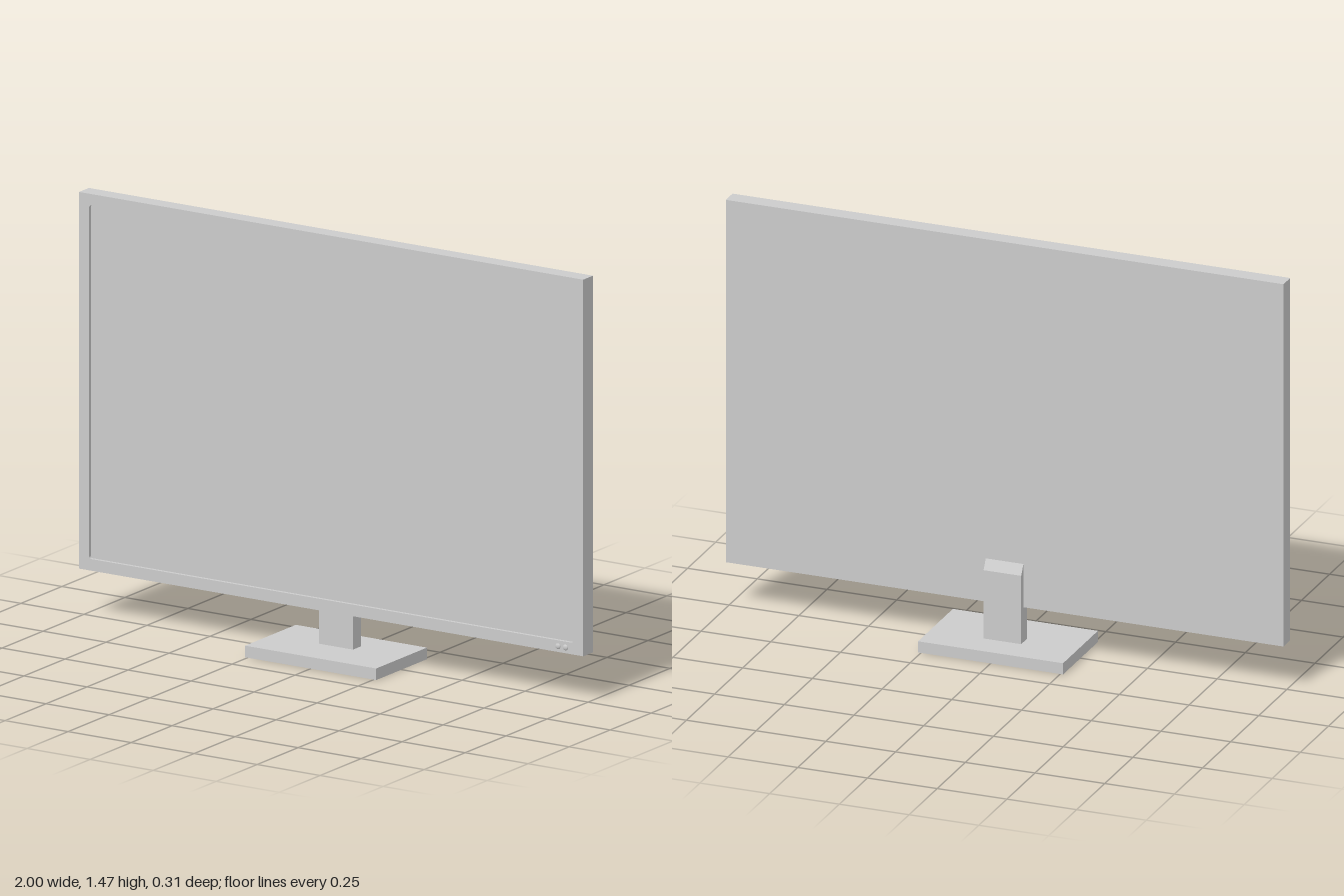
import * as THREE from 'three';

const material = new THREE.MeshStandardMaterial({ color: 0xcccccc });

function addMesh(group, name, geometry, x = 0, y = 0, z = 0) {
  const mesh = new THREE.Mesh(geometry, material);
  mesh.name = name;
  mesh.position.set(x, y, z);
  group.add(mesh);
  return mesh;
}

// Rectangle centred on the origin with slightly rounded corners
function roundedRect(path, w, h, r) {
  const x = w / 2 - r, y = h / 2 - r;
  path.absarc(x, y, r, 0, Math.PI / 2);
  path.absarc(-x, y, r, Math.PI / 2, Math.PI);
  path.absarc(-x, -y, r, Math.PI, Math.PI * 1.5);
  path.absarc(x, -y, r, Math.PI * 1.5, Math.PI * 2);
  path.closePath();
  return path;
}

export function createModel() {
  const model = new THREE.Group();
  model.name = 'monitor';

  const width = 2, height = 1.3, depth = 0.06, recess = 0.012;
  const centreY = 0.165 + height / 2;

  // Housing, whose front face is the recessed screen
  addMesh(model, 'housing', new THREE.BoxGeometry(width, height, depth - recess), 0, centreY, -recess / 2);

  // Bezel standing proud around the screen
  const frame = new THREE.Shape();
  frame.moveTo(-width / 2, -height / 2);
  frame.lineTo(width / 2, -height / 2);
  frame.lineTo(width / 2, height / 2);
  frame.lineTo(-width / 2, height / 2);
  frame.closePath();
  frame.holes.push(roundedRect(new THREE.Path(), 1.92, 1.22, 0.008));
  const bezel = new THREE.ExtrudeGeometry(frame, { depth: recess, bevelEnabled: false, curveSegments: 4 });
  addMesh(model, 'bezel', bezel, 0, centreY, depth / 2 - recess);

  // Two small domed buttons at the lower corner of the bezel
  for (const x of [0.9, 0.93]) {
    const button = addMesh(model, 'button', new THREE.SphereGeometry(0.01, 16, 12), x, 0.185, depth / 2);
    button.scale.z = 0.5;
  }

  // Neck: side profile with a sloped top, extruded across x
  const profile = new THREE.Shape([
    [0, 0.04], [0.05, 0.04], [0.05, 0.285], [0.03, 0.32], [0, 0.32],
  ].map(([back, y]) => new THREE.Vector2(back, y)));
  const neckWidth = 0.135;
  const neck = new THREE.ExtrudeGeometry(profile, { depth: neckWidth, bevelEnabled: false });
  neck.translate(0, 0, -neckWidth / 2).rotateY(Math.PI / 2);
  addMesh(model, 'neck', neck);

  // Foot plate
  addMesh(model, 'base', new THREE.BoxGeometry(0.52, 0.04, 0.31), 0, 0.02, 0);

  return model;
}
